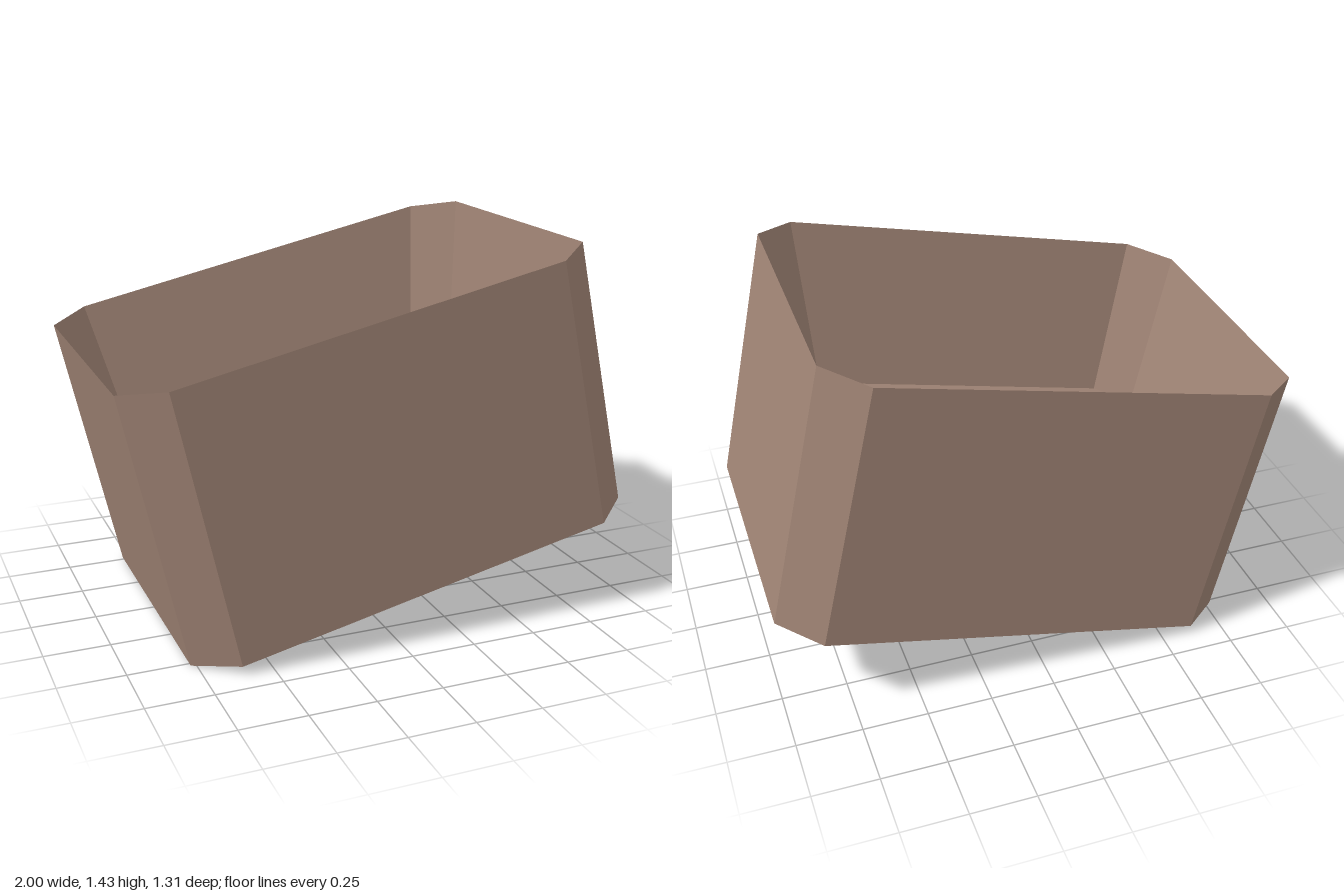
import * as THREE from 'three';

// Octagonal cross-section: a rectangle with cut corners, counter-clockwise from above
function ring(y, halfX, halfZ, cutX, cutZ, shiftX = 0) {
  const x = halfX - cutX, z = halfZ - cutZ;
  return [
    [halfX, z], [halfX, -z], [x, -halfZ], [-x, -halfZ],
    [-halfX, -z], [-halfX, z], [-x, halfZ], [x, halfZ],
  ].map(([px, pz]) => new THREE.Vector3(px + shiftX, y, pz));
}

function fromTriangles(points) {
  const geometry = new THREE.BufferGeometry().setFromPoints(points);
  geometry.computeVertexNormals();
  return geometry;
}

// Band of flat quads joining two rings
function band(a, b) {
  const points = [];
  a.forEach((p, i) => {
    const j = (i + 1) % a.length;
    points.push(p, a[j], b[j], p, b[j], b[i]);
  });
  return fromTriangles(points);
}

// Flat cap filling a ring
function cap(r) {
  const points = [];
  for (let i = 1; i < r.length - 1; i++) points.push(r[0], r[i], r[i + 1]);
  return fromTriangles(points);
}

export function createModel() {
  const brown = new THREE.MeshStandardMaterial({ color: 0xa08475 });
  brown.name = 'dusty brown';

  const base = ring(-0.532, 0.906, 0.655, 0.156, 0.138);
  const rim = ring(0.532, 0.906, 0.655, 0.156, 0.138);
  const floor = ring(-0.128, 0.77, 0.535, 0.133, 0.115, -0.077);

  const tub = new THREE.Group();
  tub.name = 'tiltedTub';
  const add = (name, geometry) => {
    const mesh = new THREE.Mesh(geometry, brown);
    mesh.name = name;
    tub.add(mesh);
  };

  add('outerWalls', band(base, rim));
  add('innerWalls', band(rim, floor)); // taper from a sharp rim to the floor
  add('innerFloor', cap(floor));
  add('underside', cap([...base].reverse()));

  // Lean the whole tub so it stands on one lower edge
  tub.rotation.z = 0.217;
  tub.position.y = 0.715;

  const model = new THREE.Group();
  model.name = 'openContainer';
  model.add(tub);
  return model;
}
